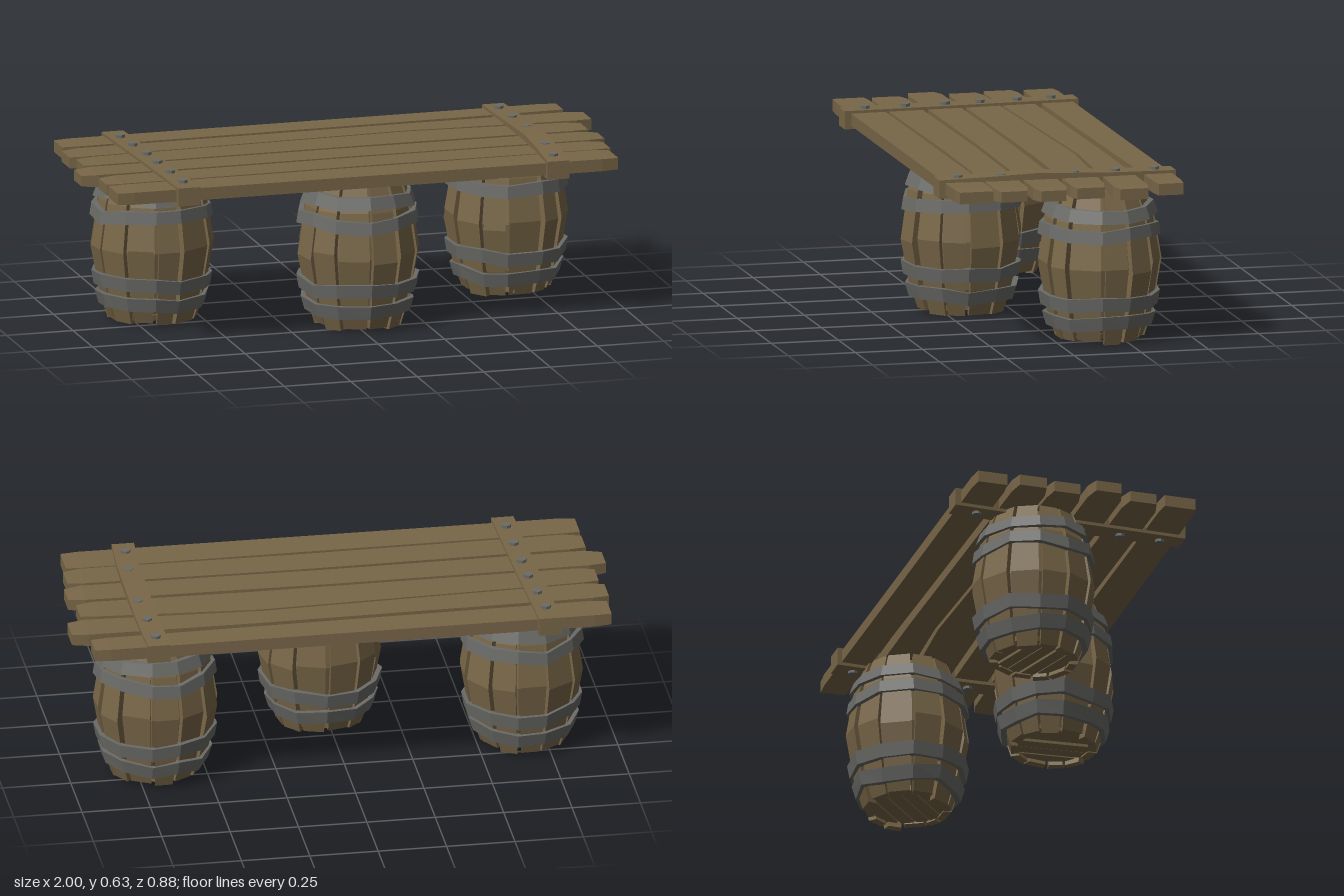
import * as THREE from 'three';

const wood = new THREE.MeshStandardMaterial({ color: 0x796748 });
wood.name = 'weatheredWood';
const iron = new THREE.MeshStandardMaterial({ color: 0x6a6a67 });
iron.name = 'dullIron';

// Small seeded generator for hand-made irregularity
let seed = 7;
const jitter = (amount) => {
  seed = (seed * 16807) % 2147483647;
  return (seed / 2147483647 * 2 - 1) * amount;
};

// Faceted solid through a row of four-cornered sections; closed joins last to first
function loft(sections, closed = false) {
  const pos = [];
  const quad = (a, b, c, d) => pos.push(...a, ...b, ...c, ...a, ...c, ...d);
  const n = sections.length;
  for (let s = 0; s < (closed ? n : n - 1); s++) {
    const p = sections[s], q = sections[(s + 1) % n];
    for (let i = 0; i < 4; i++) {
      const j = (i + 1) % 4;
      quad(p[i], p[j], q[j], q[i]);
    }
  }
  if (!closed) {
    const [a, b, c, d] = sections[0];
    quad(d, c, b, a);
    quad(...sections[n - 1]);
  }
  const g = new THREE.BufferGeometry();
  g.setAttribute('position', new THREE.Float32BufferAttribute(pos, 3));
  g.computeVertexNormals();
  return g;
}

function add(parent, name, geometry, material) {
  const mesh = new THREE.Mesh(geometry, material);
  mesh.name = name;
  parent.add(mesh);
  return mesh;
}

// Barrel outline: [height, radius]
const profile = [[0, 0.16], [0.1, 0.19], [0.28, 0.222], [0.45, 0.196], [0.565, 0.155]];
function radiusAt(y) {
  for (let i = 1; i < profile.length; i++) {
    const [y0, r0] = profile[i - 1], [y1, r1] = profile[i];
    if (y <= y1) return r0 + (r1 - r0) * (y - y0) / (y1 - y0);
  }
  return profile[profile.length - 1][1];
}
const polar = (t, r, y) => [Math.sin(t) * r, y, Math.cos(t) * r];

function makeBarrel(x, z, turn) {
  const barrel = new THREE.Group();
  barrel.name = 'barrel';
  barrel.position.set(x, 0, z);
  barrel.rotation.y = turn;

  // Staves, separated by narrow gaps
  const count = 12, edges = [];
  for (let i = 0; i < count; i++) edges.push((i + jitter(0.14)) / count * Math.PI * 2);
  for (let i = 0; i < count; i++) {
    const next = i + 1 < count ? edges[i + 1] : edges[0] + Math.PI * 2;
    const t0 = edges[i] + 0.04 + jitter(0.015), t1 = next - 0.04 + jitter(0.015);
    const base = 0.008 + jitter(0.008), push = jitter(0.004);
    const rings = profile.map(([y, r], k) => {
      const h = k === 0 ? base : k === 2 ? y + jitter(0.02) : y;
      const ro = r + push, ri = r - 0.03;
      return [polar(t0, ro, h), polar(t1, ro, h), polar(t1, ri, h), polar(t0, ri, h)];
    });
    add(barrel, 'stave', loft(rings), wood);
  }

  // Inner wall seen through the gaps
  const core = profile.map(([y, r]) => new THREE.Vector2(r - 0.026, Math.min(Math.max(y, 0.035), 0.55)));
  core.unshift(new THREE.Vector2(0, 0.035));
  core.push(new THREE.Vector2(0, 0.55));
  const inner = new THREE.LatheGeometry(core, count).toNonIndexed();
  inner.computeVertexNormals();
  add(barrel, 'innerWall', inner, wood);

  // Recessed boards of the bottom head
  for (let i = -2; i <= 2; i++) {
    const length = 2 * Math.sqrt(0.145 ** 2 - (i * 0.054) ** 2);
    const board = add(barrel, 'headBoard', new THREE.BoxGeometry(length, 0.02, 0.047), wood);
    board.position.set(0, 0.032 + jitter(0.004), i * 0.054);
  }

  // Iron hoops
  for (const [low, high] of [[0.055, 0.105], [0.13, 0.18], [0.385, 0.43], [0.46, 0.505]]) {
    const ring = edges.map((t) => {
      const dy = jitter(0.011), a = low + dy, b = high + dy;
      const ra = radiusAt(a), rb = radiusAt(b), out = 0.017 + jitter(0.003);
      return [polar(t, ra + out, a), polar(t, ra - 0.005, a), polar(t, rb - 0.005, b), polar(t, rb + out, b)];
    });
    add(barrel, 'hoop', loft(ring, true), iron);
  }
  return barrel;
}

// Section of a board running along x
const alongX = (x, z0, z1, y0, y1) => [[x, y0, z1], [x, y0, z0], [x, y1, z0], [x, y1, z1]];

// Plank given by its back and front edges at left, middle and right, with cut corners
function makePlank({ left, right, back, front, cut, bend = 0 }) {
  const at = (x, inset, edge = 0) => {
    const k = edge === 1 ? 1 : edge === -1 ? 0 : 2;
    const i = [0, 2, 1][k];
    const pick = (a) => a[edge < 0 ? 0 : edge > 0 ? 2 : 1];
    return alongX(x, pick(back) + inset, pick(front) - inset, 0.56 + inset * 0.2, 0.605 - inset * 0.2);
  };
  return loft([
    at(left, cut, -1), at(left + 0.06, 0, -1), at(bend, 0, 0), at(right - 0.06, 0, 1), at(right, cut, 1),
  ]);
}

const planks = [
  { left: -0.95, right: 0.94, back: [-0.422, -0.424, -0.428], front: [-0.3, -0.312, -0.325], cut: 0.006 },
  { left: -0.965, right: 1, back: [-0.275, -0.29, -0.288], front: [-0.15, -0.19, -0.16], cut: 0.012, bend: 0.3 },
  { left: -0.95, right: 0.945, back: [-0.14, -0.178, -0.14], front: [-0.018, -0.025, -0.015], cut: 0.012, bend: 0.3 },
  { left: -1, right: 0.965, back: [0.0, -0.005, 0.005], front: [0.125, 0.118, 0.128], cut: 0.015 },
  { left: -0.95, right: 0.945, back: [0.145, 0.135, 0.145], front: [0.272, 0.262, 0.27], cut: 0.014, bend: 0.1 },
  { left: -0.95, right: 0.93, back: [0.283, 0.28, 0.276], front: [0.41, 0.412, 0.413], cut: 0.006 },
];

// Clamping beams: rows of [z, centre x, top y]
const beams = [
  [[-0.443, -0.722, 0.615], [0, -0.703, 0.615], [0.435, -0.69, 0.615]],
  [[-0.443, 0.708, 0.615], [-0.2, 0.715, 0.619], [0.08, 0.715, 0.629], [0.25, 0.71, 0.622], [0.435, 0.697, 0.615]],
];
const bolts = [
  [-0.72, -0.35], [-0.71, -0.22], [-0.7, -0.08], [-0.697, 0.05], [-0.693, 0.2], [-0.69, 0.35],
  [0.71, -0.372], [0.717, -0.225], [0.726, -0.07], [0.716, 0.063], [0.715, 0.2], [0.7, 0.357],
];

export function createModel() {
  const model = new THREE.Group();
  model.name = 'barrelTable';
  seed = 7;

  // Table top
  const top = new THREE.Group();
  top.name = 'tableTop';
  model.add(top);
  for (const p of planks) add(top, 'plank', makePlank(p), wood);
  for (const rows of beams) {
    const sections = rows.map(([z, x, y]) => [
      [x - 0.041, 0.548, z], [x + 0.041, 0.548, z], [x + 0.041, y, z], [x - 0.041, y, z],
    ]);
    add(top, 'beam', loft(sections), wood);
  }

  // Bolt heads above and nuts below
  const boltShape = new THREE.CylinderGeometry(0.018, 0.018, 0.088, 8).toNonIndexed();
  boltShape.computeVertexNormals();
  for (const [x, z] of bolts) add(top, 'bolt', boltShape, iron).position.set(x, 0.582, z);

  // Three barrels carry the top
  for (const [x, z, turn] of [[-0.67, -0.12, 0.3], [0.02, 0.17, 1.5], [0.68, -0.175, 2.4]]) {
    model.add(makeBarrel(x, z, turn));
  }
  return model;
}
